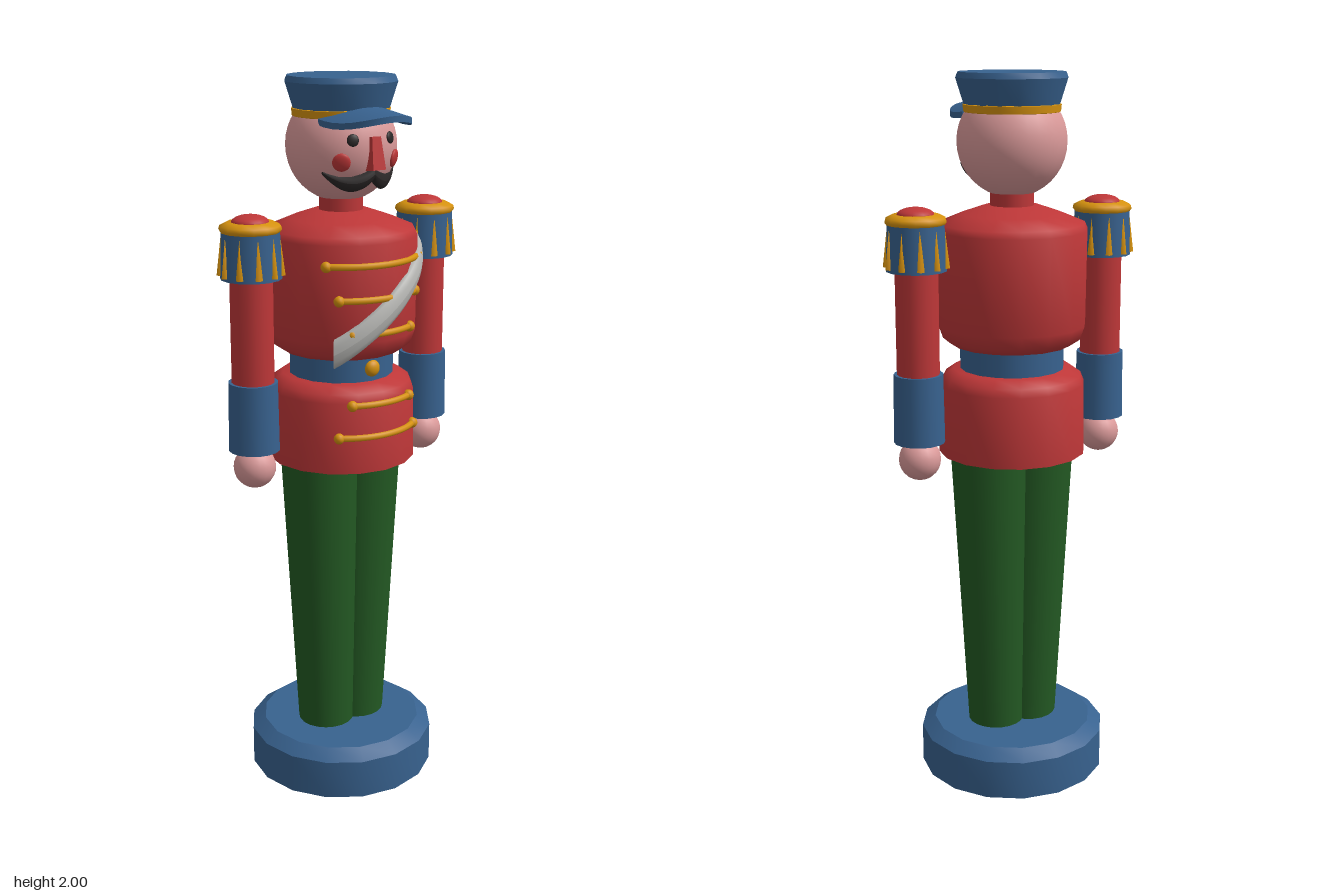
import * as THREE from 'three';
import { toCreasedNormals } from 'three/addons/utils/BufferGeometryUtils.js';

const paint = (name, color, side = THREE.FrontSide) => {
  const m = new THREE.MeshStandardMaterial({ color, side });
  m.name = name;
  return m;
};

export function createModel() {
  const red = paint('red', 0xbe3738);
  const blue = paint('blue', 0x38628f, THREE.DoubleSide);
  const green = paint('green', 0x235923);
  const gold = paint('gold', 0xd6920f);
  const skin = paint('skin', 0xdb9a9a);
  const white = paint('pale grey', 0xb8b8b5);
  const black = paint('black', 0x2a2626);

  const model = new THREE.Group();
  model.name = 'toySoldier';

  const add = (name, geometry, material, x = 0, y = 0, z = 0, parent = model) => {
    const mesh = new THREE.Mesh(geometry, material);
    mesh.name = name;
    mesh.position.set(x, y, z);
    parent.add(mesh);
    return mesh;
  };
  // Turned profile, listed from bottom to top
  const turned = (profile, sides = 16, crease = 0.6) => toCreasedNormals(
    new THREE.LatheGeometry(profile.map(([r, y]) => new THREE.Vector2(r, y)), sides), crease);
  const ball = (r) => new THREE.SphereGeometry(r, 20, 14);
  // Rod whose rule maps (angle, 0..1 along) to a point
  const rod = (steps, rule) => {
    const g = new THREE.CylinderGeometry(1, 1, 1, 12, steps);
    const p = g.attributes.position;
    for (let i = 0; i < p.count; i++) {
      const a = Math.atan2(p.getX(i), p.getZ(i));
      const size = Math.hypot(p.getX(i), p.getZ(i));
      p.setXYZ(i, ...rule(a, p.getY(i) + 0.5, size));
    }
    g.computeVertexNormals();
    return g;
  };

  // Hollow stand
  add('base', turned([[0.268, 0], [0.268, 0.112], [0.23, 0.14], [0, 0.14]]), blue);

  // Tapered legs, leaning slightly outwards
  for (const s of [-1, 1]) {
    const leg = new THREE.CylinderGeometry(0.11, 0.08, 0.88, 20, 1);
    const p = leg.attributes.position;
    for (let i = 0; i < p.count; i++) {
      p.setX(i, p.getX(i) + s * (p.getY(i) > 0 ? 0.075 : 0.054));
    }
    add(s > 0 ? 'leftLeg' : 'rightLeg', leg, green, 0, 0.56, 0);
  }

  // Coat and belt
  add('coatSkirt', turned([[0, 0.963], [0.206, 0.963], [0.202, 1.16], [0.193, 1.182],
    [0.165, 1.202], [0, 1.202]], 16, 0.8), red);
  add('belt', new THREE.CylinderGeometry(0.145, 0.145, 0.1, 16), blue, 0, 1.235, 0);
  add('chest', turned([[0, 1.27], [0.165, 1.27], [0.192, 1.288], [0.205, 1.325], [0.208, 1.585],
    [0.2, 1.603], [0.14, 1.628], [0.075, 1.65], [0, 1.65]], 16, 0.9), red);
  add('collar', new THREE.CylinderGeometry(0.06, 0.06, 0.08, 16), red, 0, 1.665, 0);
  add('buckle', ball(0.023), gold, 0, 1.237, 0.143).scale.z = 0.7;

  // Gold braids with a knob at each end
  for (const [y, half] of [[1.53, 0.15], [1.44, 0.125], [1.348, 0.095], [1.155, 0.095], [1.065, 0.125]]) {
    const r = 0.206;
    const reach = Math.asin(half / r);
    const braid = new THREE.Group();
    braid.name = 'braid';
    model.add(braid);
    const cord = new THREE.TorusGeometry(r, 0.009, 8, 20, reach * 2);
    cord.rotateZ(-Math.PI / 2 - reach);
    cord.rotateX(-Math.PI / 2);
    add('cord', cord, gold, 0, y, 0, braid);
    for (const s of [-1, 1]) {
      add('knob', new THREE.SphereGeometry(0.015, 10, 8), gold, s * half, y, r * Math.cos(reach), braid);
    }
  }

  // Sash wrapped diagonally over the chest
  add('sash', rod(20, (a, t, size) => {
    const turn = THREE.MathUtils.lerp(-0.72, 1.3, t);
    const r = 0.204 + 0.019 * size * Math.cos(a);
    const y = 1.4 + 0.757 * 0.205 * Math.sin(turn) - 0.04 * size * Math.sin(a);
    return [r * Math.sin(turn), y, r * Math.cos(turn)];
  }), white).material.side = THREE.DoubleSide;

  // Arms
  for (const s of [-1, 1]) {
    const arm = new THREE.Group();
    arm.name = s > 0 ? 'leftArm' : 'rightArm';
    arm.position.x = s * 0.29;
    model.add(arm);
    add('sleeve', new THREE.CylinderGeometry(0.058, 0.058, 0.36, 16), red, 0, 1.37, 0, arm);
    add('cuff', new THREE.CylinderGeometry(0.067, 0.07, 0.19, 16), blue, 0, 1.12, 0, arm);
    add('hand', ball(0.058), skin, 0, 0.975, 0, arm);
    add('epaulette', new THREE.CylinderGeometry(0.077, 0.082, 0.13, 14), blue, 0, 1.56, 0, arm);
    add('epauletteTrim', turned([[0.078, 1.617], [0.083, 1.624], [0.08, 1.634], [0.062, 1.643],
      [0, 1.643]], 14, 1), gold, 0, 0, 0, arm);
    add('epauletteButton', ball(0.05), red, 0, 1.641, 0, arm).scale.y = 0.42;
    // Fringe of slim points
    for (let i = 0; i < 10; i++) {
      const a = (i + 0.5) * Math.PI / 5;
      const point = add('fringe', new THREE.ConeGeometry(0.013, 0.105, 4), gold,
        0.077 * Math.sin(a), 1.555, 0.077 * Math.cos(a), arm);
      point.rotation.y = a;
    }
  }

  // Head and face
  const headY = 1.82, headR = 0.149;
  const onHead = (x, y) => Math.sqrt(Math.max(0, headR ** 2 - x * x - (y - headY) ** 2));
  add('head', new THREE.SphereGeometry(headR, 28, 20), skin, 0, headY, 0);
  const nose = new THREE.CylinderGeometry(0.02, 0.029, 0.085, 4);
  nose.rotateY(Math.PI / 4);
  add('nose', toCreasedNormals(nose, 0.5), red, 0, 1.81, 0.145).rotation.x = -0.1;
  for (const s of [-1, 1]) {
    const spot = (name, x, y, r, material) => {
      const z = onHead(x, y);
      const mesh = add(name, ball(r), material, s * x, y, z);
      mesh.lookAt(s * x * 2, y * 2 - headY, z * 2);
      mesh.scale.z = 0.35;
    };
    spot('eye', 0.06, 1.846, 0.016, black);
    spot('cheek', 0.085, 1.79, 0.024, red);
    // Moustache half with an upturned tip
    const half = rod(16, (a, t, size) => {
      const r = size * (0.004 + 0.019 * Math.sin(Math.PI * Math.min(1, 0.25 + 0.75 * t)));
      const x = 0.115 * t;
      const y = 1.757 - 0.1 * t * (1 - t) + 0.004 * t;
      return [x, y - r * Math.sin(a), onHead(x, y) + 0.002 + r * 0.8 * Math.cos(a)];
    });
    add('moustache', half, black).scale.x = s;
  }

  // Cap with band and arched visor
  add('capBand', turned([[0.12, 1.893], [0.13, 1.897], [0.132, 1.916], [0.12, 1.92]], 24), gold);
  add('cap', turned([[0.1, 1.912], [0.128, 1.912], [0.151, 1.985], [0.145, 2], [0, 2]]), blue);
  const visor = new THREE.BoxGeometry(2, 0.016, 1, 16, 1, 5);
  const v = visor.attributes.position;
  for (let i = 0; i < v.count; i++) {
    const u = v.getX(i) * Math.PI / 2 * 0.97, t = v.getZ(i) + 0.5;
    const x = 0.117 * Math.sin(u);
    const z = THREE.MathUtils.lerp(0.06, 0.075 + 0.165 * Math.cos(u) ** 0.9, t);
    v.setXYZ(i, x, 1.926 + v.getY(i) - 0.12 * (z - 0.06) - 2.7 * x * x, z);
  }
  visor.computeVertexNormals();
  add('visor', visor, blue);

  return model;
}
